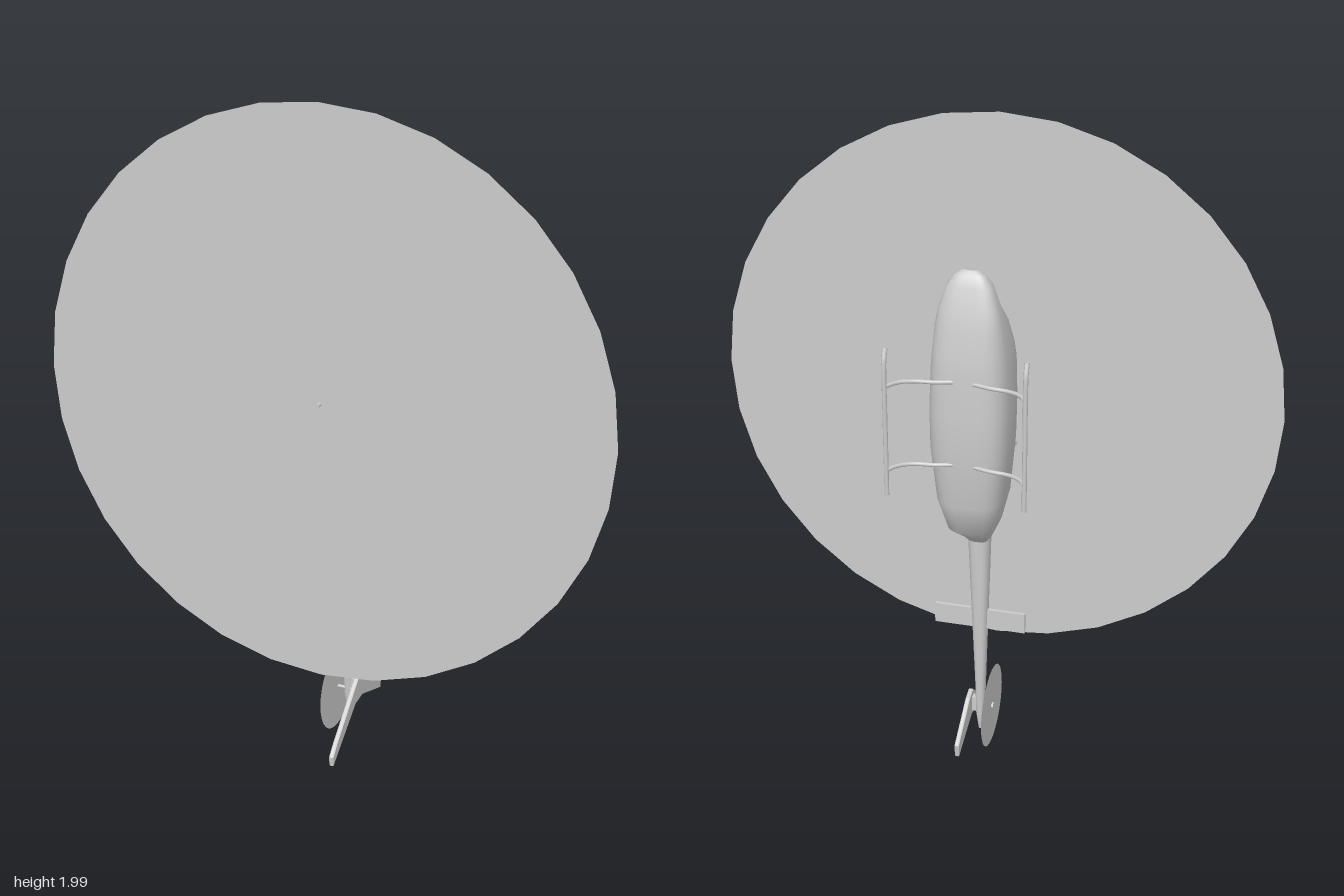
import * as THREE from 'three';

const grey = new THREE.MeshStandardMaterial({ color: 0xcccccc });
const greyThin = new THREE.MeshStandardMaterial({ color: 0xcccccc, side: THREE.DoubleSide });

// Closed skin through rounded-box sections [y, zBelly, zRoof, halfWidth], listed upwards
function loft(sections, power, sides = 28) {
  const pos = [], index = [];
  const round = (v) => Math.sign(v) * Math.abs(v) ** (2 / power);
  const first = sections[0], last = sections[sections.length - 1];
  const point = ([y, a, b]) => [y, (a + b) / 2, (a + b) / 2, 0];
  const rings = [point(first), ...sections, point(last)];
  rings.forEach(([y, a, b, w], r) => {
    for (let j = 0; j < sides; j++) {
      const t = (j / sides) * Math.PI * 2;
      pos.push(w * round(Math.cos(t)), y, (a + b) / 2 + ((b - a) / 2) * round(Math.sin(t)));
      if (r === rings.length - 1) continue;
      const k = (j + 1) % sides, p = r * sides, q = p + sides;
      index.push(p + j, q + j, p + k, p + k, q + j, q + k);
    }
  });
  const g = new THREE.BufferGeometry();
  g.setAttribute('position', new THREE.Float32BufferAttribute(pos, 3));
  g.setIndex(index);
  g.computeVertexNormals();
  return g;
}

function tube(points, radius) {
  const curve = new THREE.CatmullRomCurve3(points.map((p) => new THREE.Vector3(...p)));
  return new THREE.TubeGeometry(curve, 20, radius, 8);
}

export function createModel() {
  const model = new THREE.Group();
  const add = (name, geometry, x = 0, y = 0, z = 0, material = grey) => {
    const mesh = new THREE.Mesh(geometry, material);
    mesh.name = name;
    mesh.position.set(x, y, z);
    model.add(mesh);
    return mesh;
  };

  // Cabin, nose pointing up and belly towards -z
  add('fuselage', loft([
    [0.775, -0.015, 0.055, 0.03],
    [0.8, -0.04, 0.062, 0.045],
    [0.86, -0.122, 0.066, 0.072],
    [0.96, -0.153, 0.07, 0.098],
    [1.13, -0.169, 0.074, 0.114],
    [1.25, -0.169, 0.077, 0.116],
    [1.37, -0.164, 0.078, 0.112],
    [1.42, -0.159, 0.062, 0.108],
    [1.495, -0.148, 0.018, 0.098],
    [1.55, -0.135, -0.036, 0.086],
    [1.615, -0.116, -0.05, 0.064],
    [1.645, -0.1, -0.063, 0.042],
    [1.656, -0.09, -0.073, 0.022],
  ], 3.2));

  // Engine cowling on the roof
  add('engineCowling', loft([
    [0.785, 0.0, 0.06, 0.035],
    [0.82, -0.02, 0.085, 0.05],
    [0.89, -0.02, 0.127, 0.062],
    [1.02, -0.02, 0.15, 0.068],
    [1.12, -0.02, 0.156, 0.068],
    [1.17, -0.02, 0.13, 0.068],
    [1.24, -0.02, 0.122, 0.068],
    [1.3, -0.02, 0.115, 0.066],
    [1.37, -0.02, 0.085, 0.06],
    [1.4, -0.02, 0.05, 0.05],
  ], 2.8));

  // Tail boom
  add('tailBoom', loft([
    [0.08, 0.027, 0.037, 0.005],
    [0.14, 0.018, 0.047, 0.013],
    [0.25, 0.016, 0.053, 0.016],
    [0.8, -0.017, 0.063, 0.034],
  ], 2.4, 16));

  // Main rotor: gearbox, mast and swept disc
  add('rotorGearbox', new THREE.BoxGeometry(0.075, 0.1, 0.06), 0, 1.185, 0.133);
  add('rotorMast', new THREE.CylinderGeometry(0.006, 0.006, 0.11, 12).rotateX(Math.PI / 2), 0, 1.16, 0.2);
  add('mainRotorDisc', new THREE.CircleGeometry(0.845, 32, Math.PI / 2), 0, 1.155, 0.24, greyThin);

  // Tail rotor on the right of the boom
  add('tailRotorDisc', new THREE.CircleGeometry(0.13, 32).rotateY(Math.PI / 2), -0.032, 0.16, 0.047, greyThin);
  add('tailRotorShaft', new THREE.CylinderGeometry(0.005, 0.005, 0.07, 10).rotateZ(Math.PI / 2), -0.003, 0.16, 0.042);
  add('tailRotorHub', new THREE.CylinderGeometry(0.01, 0.01, 0.005, 10).rotateZ(Math.PI / 2), -0.036, 0.16, 0.047);

  // Swept fin on the left of the boom, outline in (z, y)
  const outline = [[0.037, 0.215], [0.217, 0.066], [0.245, 0.038], [0.243, 0.011], [0.074, 0.13],
    [0.02, 0.135], [-0.128, 0.08], [-0.133, 0.118], [0, 0.205]].map((p) => new THREE.Vector2(...p));
  add('tailFin', new THREE.ExtrudeGeometry(new THREE.Shape(outline), {
    depth: 0.008, bevelThickness: 0.003, bevelSize: 0.002, bevelSegments: 1,
  }).rotateY(-Math.PI / 2), 0.036);
  add('finMount', new THREE.BoxGeometry(0.034, 0.05, 0.02), 0.015, 0.17, 0.035);

  // Stabiliser across the boom
  add('stabiliser', new THREE.BoxGeometry(0.28, 0.065, 0.01), 0, 0.49, 0.026);

  for (const side of [1, -1]) {
    const label = side > 0 ? 'left' : 'right';
    // Landing skid with upturned front end
    add(label + 'Skid', tube([
      [0.197 * side, 1.03, -0.25], [0.197 * side, 1.2, -0.25], [0.197 * side, 1.4, -0.25],
      [0.197 * side, 1.44, -0.247], [0.197 * side, 1.47, -0.234],
    ], 0.007));
    // Curved skid struts
    for (const y of [1.1, 1.355]) {
      add(label + 'SkidStrut', tube([
        [0.03 * side, y, -0.16], [0.08 * side, y, -0.174], [0.13 * side, y, -0.18],
        [0.165 * side, y + 0.003, -0.2], [0.187 * side, y + 0.005, -0.228], [0.197 * side, y + 0.005, -0.25],
      ], 0.006));
    }
    // Exhaust stub, leaning outwards and aft
    const exhaust = add(label + 'Exhaust', new THREE.CylinderGeometry(0.014, 0.011, 0.06, 12, 1, true),
      0.053 * side, 1.04, 0.15, greyThin);
    exhaust.quaternion.setFromUnitVectors(new THREE.Vector3(0, 1, 0),
      new THREE.Vector3(0.45 * side, -0.5, 0.75).normalize());
  }
  return model;
}
